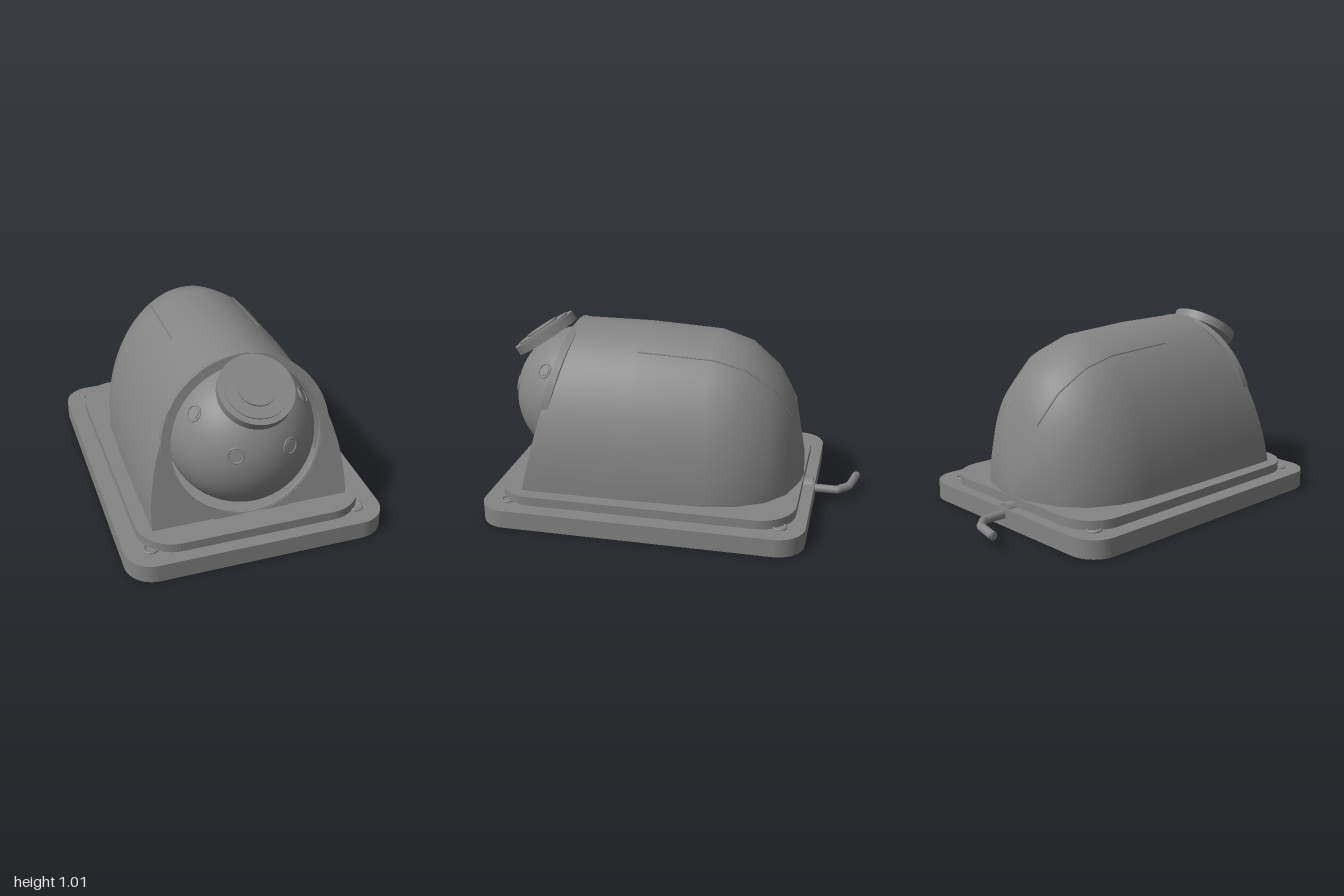
import * as THREE from 'three';

const TILT = 0.2365; // backward lean of the hood's front face
const SLOPE = Math.tan(TILT);
const BASE_Y = 0.15, HALF_W = 0.53, RISE = 0.83, FRONT_Z = 0.795;

export function createModel() {
  const group = new THREE.Group();
  const grey = new THREE.MeshStandardMaterial({ color: 0x848484 });
  grey.name = 'grey';
  const greyShell = new THREE.MeshStandardMaterial({ color: 0x848484, side: THREE.DoubleSide });
  greyShell.name = 'grey shell';

  const add = (name, geometry, parent = group, material = grey) => {
    const mesh = new THREE.Mesh(geometry, material);
    mesh.name = name;
    parent.add(mesh);
    return mesh;
  };

  // Horizontal plate with rounded corners
  function plate(name, w, z0, z1, r, y, h) {
    const s = new THREE.Shape();
    s.moveTo(w, -z1 + r);
    s.absarc(w - r, -z0 - r, r, 0, Math.PI / 2);
    s.absarc(-w + r, -z0 - r, r, Math.PI / 2, Math.PI);
    s.absarc(-w + r, -z1 + r, r, Math.PI, Math.PI * 1.5);
    s.absarc(w - r, -z1 + r, r, Math.PI * 1.5, Math.PI * 2);
    const g = new THREE.ExtrudeGeometry(s, { depth: h, bevelEnabled: false, curveSegments: 10 });
    add(name, g.rotateX(-Math.PI / 2).translate(0, y, 0));
  }
  plate('basePlate', 0.695, -0.755, 1, 0.15, 0, 0.1);
  plate('upperPlate', 0.605, -0.692, 0.93, 0.2, 0.1, 0.05);

  // Corner screws
  for (const x of [-0.558, 0.558]) for (const z of [-0.62, 0.865]) {
    add('screwRim', new THREE.TorusGeometry(0.034, 0.008, 8, 24).rotateX(Math.PI / 2)).position.set(x, 0.102, z);
    add('screwHead', new THREE.CylinderGeometry(0.03, 0.03, 0.004, 24)).position.set(x, 0.101, z);
  }

  // Hood: half revolution of a profile (scale, z), stretched to an arch, front edge sheared
  const profile = [[0, -0.69], [0.18, -0.682], [0.54, -0.62], [0.76, -0.52], [0.91, -0.37],
    [0.975, -0.2], [1, 0.2], [1, FRONT_Z]];
  const hood = new THREE.LatheGeometry(profile.map(([s, z]) => new THREE.Vector2(s, z)), 48, -Math.PI / 2, Math.PI);
  const p = hood.attributes.position;
  for (let i = 0; i < p.count; i++) {
    const x = p.getX(i), z = p.getY(i), rise = p.getZ(i) * RISE;
    p.setXYZ(i, -x * HALF_W, BASE_Y + rise, z > 0.5 ? z - rise * SLOPE : z);
  }
  hood.computeVertexNormals();
  add('hood', hood, group, greyShell);

  // Raised seams following the hood profile
  for (const side of [-1, 1]) {
    const path = new THREE.CurvePath();
    const pts = profile.slice(2, 7).map(([s, z]) =>
      new THREE.Vector3(side * 0.455 * HALF_W * s, BASE_Y + 0.89 * RISE * s, z));
    for (let i = 1; i < pts.length; i++) path.add(new THREE.LineCurve3(pts[i - 1], pts[i]));
    add('hoodSeam', new THREE.TubeGeometry(path, 48, 0.005, 6));
  }

  // Leaning front face with a round opening and its rim
  const front = new THREE.Group();
  front.name = 'frontFace';
  front.position.set(0, BASE_Y, FRONT_Z);
  front.rotation.x = -TILT;
  group.add(front);
  const centre = 0.402;
  const faceShape = new THREE.Shape();
  faceShape.moveTo(HALF_W, 0);
  faceShape.absellipse(0, 0, HALF_W, RISE / Math.cos(TILT), 0, Math.PI);
  faceShape.closePath();
  faceShape.holes.push(new THREE.Path().absarc(0, centre, 0.4, 0, Math.PI * 2, true));
  add('facePanel', new THREE.ShapeGeometry(faceShape, 48), front, greyShell);
  const rimShape = new THREE.Shape().absarc(0, centre, 0.45, 0, Math.PI * 2);
  rimShape.holes.push(new THREE.Path().absarc(0, centre, 0.405, 0, Math.PI * 2, true));
  add('openingRim', new THREE.ExtrudeGeometry(rimShape, { depth: 0.04, bevelEnabled: false, curveSegments: 48 })
    .translate(0, 0, -0.034), front);

  // Ball held in the opening
  const ball = new THREE.Group();
  ball.name = 'ball';
  ball.position.set(0, 0.54, 0.58);
  group.add(ball);
  const R = 0.385;
  add('ballSphere', new THREE.SphereGeometry(R, 56, 36), ball);

  // A mount whose +y axis points away from the ball's centre
  function mount(name, x, y, z) {
    const m = new THREE.Group();
    m.name = name;
    m.quaternion.setFromUnitVectors(new THREE.Vector3(0, 1, 0), new THREE.Vector3(x, y, z).normalize());
    ball.add(m);
    return m;
  }
  const disc = (name, m, r, from, to) =>
    add(name, new THREE.CylinderGeometry(r, r, to - from, 48).translate(0, (from + to) / 2, 0), m);

  // Stepped round lens cap
  const lens = mount('lens', 0, 0.84, 0.545);
  disc('lensBody', lens, 0.19, 0.383, 0.434);
  disc('lensStep', lens, 0.16, 0.434, 0.442);
  disc('lensCentre', lens, 0.097, 0.442, 0.452);

  // Small round sensors on the ball
  for (const side of [-1, 1]) for (const [x, y, z] of [[0.14, 0.08, 0.35], [0.285, 0.22, 0.137]]) {
    const sensor = mount('sensor', side * x, y, z);
    disc('sensorDisc', sensor, 0.028, R - 0.01, R + 0.002);
    add('sensorRim', new THREE.TorusGeometry(0.039, 0.005, 8, 32).rotateX(Math.PI / 2).translate(0, R - 0.002, 0), sensor);
  }

  // Cable and its gland at the back
  add('cableGland', new THREE.CylinderGeometry(0.05, 0.05, 0.09, 24).rotateX(Math.PI / 2)).position.set(0, 0.076, -0.7);
  const cable = new THREE.CurvePath();
  const bends = [[0, -0.7], [0, -0.88], [-0.065, -0.945], [-0.213, -0.977]]
    .map(([x, z]) => new THREE.Vector3(x, 0.067, z));
  for (let i = 1; i < bends.length; i++) cable.add(new THREE.LineCurve3(bends[i - 1], bends[i]));
  add('cable', new THREE.TubeGeometry(cable, 40, 0.023, 14));
  add('cableEnd', new THREE.SphereGeometry(0.023, 14, 10).scale(0.3, 1, 1)).position.copy(bends[3]);

  return group;
}
